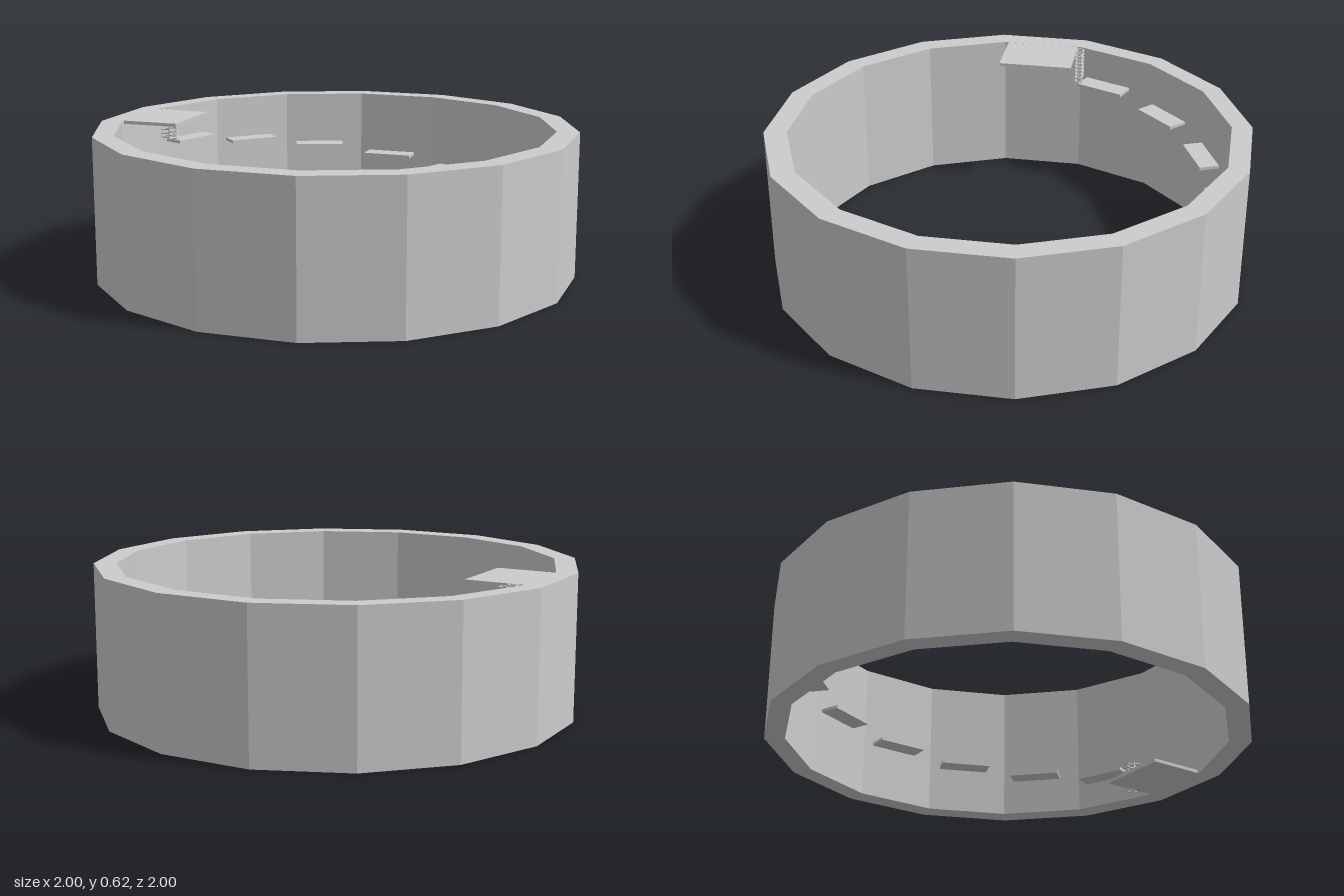
import * as THREE from 'three';

const SIDES = 16, HEIGHT = 0.62, INNER = 0.91, SLAB = 0.014;

const grey = new THREE.MeshStandardMaterial({ color: 0xcccccc });
grey.name = 'light grey';

function add(parent, name, geometry, x = 0, y = 0, z = 0) {
  const mesh = new THREE.Mesh(geometry, grey);
  mesh.name = name;
  mesh.position.set(x, y, z);
  parent.add(mesh);
  return mesh;
}

// Corners of a regular polygon with flat sides facing the axes
function polygon(apothem, offsetY = 0) {
  const r = apothem / Math.cos(Math.PI / SIDES);
  return Array.from({ length: SIDES }, (_, i) => {
    const a = (i + 0.5) * 2 * Math.PI / SIDES;
    return new THREE.Vector2(r * Math.cos(a), r * Math.sin(a) + offsetY);
  });
}

// Flat shape with holes, laid horizontally and given a thickness
function slab(outline, holes, depth) {
  const shape = new THREE.Shape(outline);
  holes.forEach(h => shape.holes.push(new THREE.Path(h)));
  return new THREE.ExtrudeGeometry(shape, { depth, bevelEnabled: false }).rotateX(-Math.PI / 2);
}

function rectangle(w, h) {
  return [[-1, -1], [1, -1], [1, 1], [-1, 1]].map(([x, y]) => new THREE.Vector2(x * w / 2, y * h / 2));
}

// Group turned so that its +z points outward to the wall at the given angle
function wallGroup(parent, name, degrees) {
  const group = new THREE.Group();
  group.name = name;
  group.rotation.y = THREE.MathUtils.degToRad(degrees);
  parent.add(group);
  return group;
}

// Column of small open rungs, alternating between two cells
function ladder(parent, x, z, bottom, top) {
  const group = new THREE.Group();
  group.name = 'ladder';
  parent.add(group);
  const rung = slab(rectangle(0.034, 0.036), [rectangle(0.02, 0.024)], 0.005);
  const levels = 16, rise = (top - bottom - 0.005) / (levels - 1);
  for (let i = 0; i < levels; i++) {
    add(group, 'ladderRung', rung, x, bottom + i * rise, z + (i % 2 ? 0.019 : -0.019));
  }
  add(group, 'ladderPost', new THREE.BoxGeometry(0.005, top - bottom, 0.005), x - Math.sign(x) * 0.0145, (top + bottom) / 2, z);
}

export function createModel() {
  const model = new THREE.Group();
  model.name = 'ringTower';

  // Sixteen-sided wall, open at top and bottom
  add(model, 'ringWall', slab(polygon(1), [polygon(INNER, 0.006)], HEIGHT));

  // Entry platform level with the floor
  const platform = new THREE.BoxGeometry(0.328, SLAB, 0.246);
  const entry = wallGroup(model, 'entryPlatform', 0);
  add(entry, 'lowerPlatform', platform, 0, SLAB / 2, 0.782);
  ladder(entry, 0.186, 0.822, 0, 0.14);

  // Exit platform level with the rim
  const exit = wallGroup(model, 'exitPlatform', 225);
  add(exit, 'upperPlatform', platform, -0.003, HEIGHT - SLAB / 2, 0.79);
  ladder(exit, -0.186, 0.86, 0.48, HEIGHT);

  // Rising ledges, one on each wall panel between the platforms
  const ledge = new THREE.BoxGeometry(0.225, SLAB, 0.088);
  for (let i = 0; i < 9; i++) {
    const group = wallGroup(model, 'ledge', (i + 1) * 360 / SIDES);
    add(group, 'ledgeSlab', ledge, 0.0275, 0.131 + i * 0.0433 - SLAB / 2, 0.866);
  }
  return model;
}
